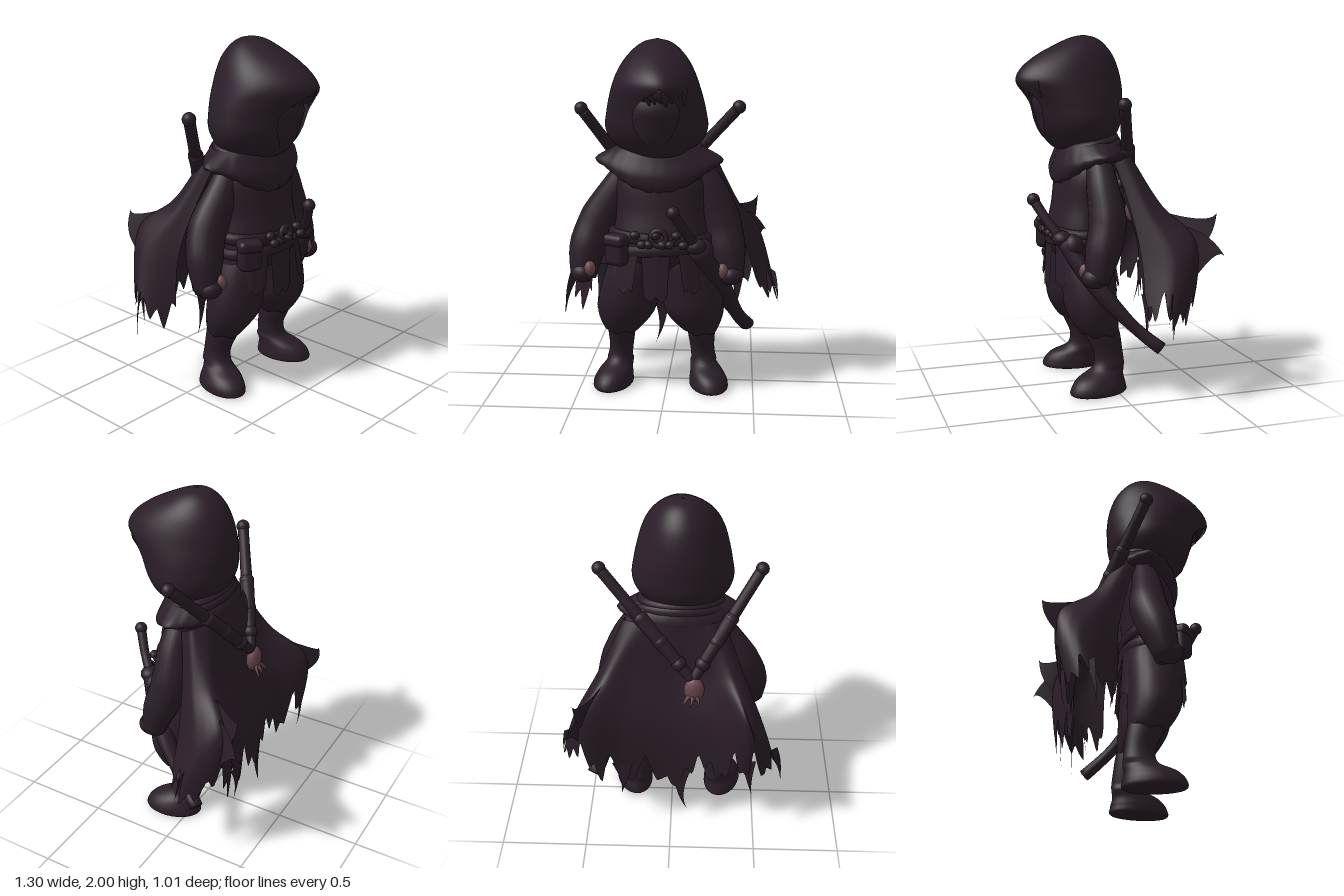
import * as THREE from 'three';
import { mergeVertices } from 'three/addons/utils/BufferGeometryUtils.js';
import { RoundedBoxGeometry } from 'three/addons/geometries/RoundedBoxGeometry.js';

const V = (x, y, z) => new THREE.Vector3(x, y, z);
const spline = (pts) => new THREE.CatmullRomCurve3(pts);
const evenSpline = (pts) => new THREE.CatmullRomCurve3(pts, false, 'catmullrom', 0.5);
const tri = (t) => Math.abs((((t % 1) + 1) % 1) * 2 - 1);

// Smooth surface from a function of (u, v)
function sheet(nu, nv, fn) {
  const pos = [], idx = [];
  for (let j = 0; j <= nv; j++)
    for (let i = 0; i <= nu; i++) pos.push(...fn(i / nu, j / nv, j).toArray());
  for (let j = 0; j < nv; j++)
    for (let i = 0; i < nu; i++) {
      const a = j * (nu + 1) + i, c = a + nu + 1;
      idx.push(a, a + 1, c, a + 1, c + 1, c);
    }
  const g = new THREE.BufferGeometry();
  g.setAttribute('position', new THREE.Float32BufferAttribute(pos, 3));
  g.setIndex(idx);
  const m = mergeVertices(g, 1e-4);
  m.computeVertexNormals();
  return m;
}

// Stacked ovals, bottom to top: [y, cx, cz, rx, rz, front opening angle]
function loft(rows, nu = 32, nv = 30, warp = null) {
  const P = evenSpline(rows.map((r) => V(r[0], r[1], r[2])));
  const R = evenSpline(rows.map((r) => V(r[3], r[4], r[5] || 0)));
  return sheet(nu, nv, (u, v) => {
    const p = P.getPoint(v), r = R.getPoint(v), a = Math.max(0, r.z);
    const th = a + u * (2 * Math.PI - 2 * a);
    const q = V(p.y + r.x * Math.sin(th), p.x, p.z + r.y * Math.cos(th));
    if (warp) warp(q, th, v);
    return q;
  });
}

// Tapered tube with closed ends along a smooth path
function limb(points, radii, flat = 1, sides = 14, n = 18) {
  const c = spline(points.map((p) => V(...p)));
  const f = c.computeFrenetFrames(n);
  return sheet(sides, n + 2, (u, v, j) => {
    const k = Math.min(n, Math.max(0, j - 1)), t = k / n, s = t * (radii.length - 1);
    const i = Math.min(radii.length - 2, Math.floor(s));
    const r = j === 0 || j === n + 2 ? 0 : THREE.MathUtils.lerp(radii[i], radii[i + 1], s - i);
    const a = u * 2 * Math.PI;
    return c.getPointAt(t)
      .addScaledVector(f.normals[k], r * Math.cos(a))
      .addScaledVector(f.binormals[k], r * flat * Math.sin(a));
  });
}

// Curved pointed strip of cloth from the base edge a-b, bending by mid, to a tip
function shred(a, b, mid, tip) {
  const A = V(...a), B = V(...b), half = B.clone().sub(A).multiplyScalar(0.5);
  const c = new THREE.QuadraticBezierCurve3(A.clone().add(half), V(...mid), V(...tip));
  return sheet(6, 12, (u, v) => c.getPoint(v).addScaledVector(half, (u * 2 - 1) * (1 - v) ** 1.4));
}

export function createModel() {
  const root = new THREE.Group();
  const material = (name, color) => {
    const m = new THREE.MeshStandardMaterial({ color, side: THREE.DoubleSide });
    m.name = name;
    return m;
  };
  const cloth = material('dark plum cloth', 0x2a1d28);
  const skin = material('dusty rose', 0x68464a);
  const add = (name, geo, mat = cloth) => {
    const m = new THREE.Mesh(geo, mat);
    m.name = name;
    root.add(m);
    return m;
  };
  const ball = (name, x, y, z, sx, sy = sx, sz = sx, mat = cloth) => {
    const m = add(name, new THREE.SphereGeometry(1, 18, 12), mat);
    m.position.set(x, y, z);
    m.scale.set(sx, sy, sz);
    return m;
  };

  // Hood: [y, front z, back z, half width, opening]
  const hoodRows = [
    [1.38, 0.28, -0.04, 0.17, 0.1], [1.44, 0.345, -0.08, 0.25, 0.25], [1.52, 0.39, -0.112, 0.285, 0.45],
    [1.61, 0.425, -0.12, 0.275, 0.55], [1.68, 0.465, -0.122, 0.26, 0.42], [1.75, 0.5, -0.115, 0.24, 0],
    [1.82, 0.462, -0.098, 0.214, 0], [1.89, 0.37, -0.068, 0.175, 0], [1.95, 0.255, -0.02, 0.122, 0],
    [1.985, 0.175, 0.03, 0.068, 0], [2.0, 0.105, 0.095, 0.005, 0],
  ].map(([y, f, b, rx, a]) => [y, -0.055, (f + b) / 2, rx, (f - b) / 2, a]);
  add('hood', loft(hoodRows, 56, 50, (p, th) => { // narrow the brim into a point
    const f = Math.max(0, Math.cos(th)) ** 2;
    p.x = p.x * (1 - 0.2 * f) + 0.035 * f * Math.max(0, 1 - Math.abs(p.y - 1.74) * 5);
  }));
  add('maskedFace', loft([
    [1.34, -0.035, 0.17, 0.06, 0.04], [1.38, -0.035, 0.17, 0.14, 0.12],
    [1.45, -0.04, 0.17, 0.19, 0.175], [1.55, -0.04, 0.17, 0.22, 0.21],
    [1.63, -0.04, 0.17, 0.21, 0.23], [1.74, -0.04, 0.17, 0.17, 0.2],
  ]));
  for (let i = 0; i < 8; i++) { // frayed brim
    const x = -0.11 + i * 0.03, z = 0.475 - Math.abs(x + 0.01) * 0.5;
    add('brimFray', limb([[x, 1.745, z - 0.01], [x, 1.71, z - 0.012], [x + 0.01, 1.65 + 0.025 * tri(i * 0.37), z - 0.035]],
      [0.03, 0.026, 0.003], 0.5, 6, 6));
  }

  // Cowl: narrow over the shoulders, drooping to a point at the front
  add('cowl', loft([
    [1.35, -0.04, 0.08, 0.2, 0.12], [1.305, -0.04, 0.085, 0.275, 0.19], [1.335, -0.04, 0.085, 0.32, 0.208],
    [1.385, -0.045, 0.08, 0.275, 0.185], [1.43, -0.05, 0.085, 0.2, 0.15],
  ], 96, 24, (p, th, v) => {
    const w = Math.max(0, 1 - v), f = Math.max(0, Math.cos(th));
    p.y -= 0.17 * w * f ** 1.5 + 0.012 * w * tri(th * 3.3);
    p.x *= 1 + 0.13 * Math.abs(Math.sin(th)) ** 20 * Math.sin(Math.PI * v) ** 3;
  }));
  [[1.35, 0.245, 0.32], [1.395, 0.22, 0.2]].forEach(([y, r, tilt]) => {
    const t = add('cowlFold', new THREE.TorusGeometry(r, 0.028, 10, 40));
    t.rotation.x = Math.PI / 2 + tilt;
    t.scale.y = 0.72;
    t.position.set(-0.045, y, 0.082);
  });

  // Torso and belt
  const cx = -0.035;
  add('torso', loft([
    [0.72, cx, 0.13, 0.22, 0.12], [0.82, cx, 0.145, 0.27, 0.165], [0.92, cx, 0.145, 0.265, 0.165],
    [1.05, cx, 0.125, 0.25, 0.16], [1.2, cx, 0.1, 0.26, 0.165], [1.3, cx, 0.08, 0.23, 0.15],
    [1.4, cx, 0.08, 0.12, 0.1],
  ]));
  [0.85, 0.91].forEach((y, i) => {
    const b = add('belt', new THREE.TorusGeometry(0.272, 0.024, 10, 44));
    b.rotation.set(Math.PI / 2, 0.06 - 0.12 * i, 0);
    b.scale.set(1, 0.63, 1.4);
    b.position.set(cx, y, 0.14);
  });
  const buckle = add('buckle', new THREE.TorusGeometry(0.042, 0.015, 8, 20));
  buckle.position.set(-0.03, 0.93, 0.335);
  for (let i = 0; i < 8; i++)
    ball('beltKnot', -0.16 + i * 0.038, 0.91 + 0.035 * Math.cos(i * 2.1), 0.33, 0.03, 0.024, 0.026);
  const pouch = add('hipPouch', new RoundedBoxGeometry(0.13, 0.17, 0.1, 4, 0.035));
  pouch.position.set(-0.265, 0.845, 0.27);
  pouch.rotation.y = -0.55;
  const lid = add('pouchLid', new RoundedBoxGeometry(0.14, 0.07, 0.115, 4, 0.03));
  lid.position.set(-0.265, 0.905, 0.272);
  lid.rotation.y = -0.55;
  ball('sidePouch', 0.21, 0.84, 0.24, 0.06, 0.07, 0.06);

  // Hanging tunic panels: [angle, half width, hem height, hem spread]
  const panels = [[-0.05, 0.3, 0.56, 1.08], [0.75, 0.36, 0.6, 1.14], [-0.75, 0.36, 0.6, 1.14],
    [1.5, 0.4, 0.6, 1.08], [-1.5, 0.4, 0.6, 1.08], [2.4, 0.46, 0.53, 1.2], [-2.4, 0.46, 0.53, 1.2], [3.14, 0.38, 0.55, 1.3]];
  panels.forEach(([a, w, hem, spread]) => add('tunicPanel', sheet(18, 8, (u, v) => {
    const th = a + (u * 2 - 1) * w * (1 - 0.25 * v), r = 1 + (spread - 1) * v;
    const y = THREE.MathUtils.lerp(0.88, hem + 0.035 * tri(u * 2 + a), v);
    return V(cx + 0.275 * r * Math.sin(th), y, 0.14 + 0.175 * r * Math.cos(th));
  })));

  // Baggy trousers and boots
  for (const s of [-1, 1]) {
    const leg = (rows) => rows.map(([y, d, cz, rx, rz]) => [y, cx + s * d, cz, rx, rz]);
    add('trouserLeg', loft(leg([
      [0.32, 0.235, 0.075, 0.06, 0.07], [0.35, 0.225, 0.085, 0.105, 0.11], [0.47, 0.195, 0.12, 0.168, 0.145],
      [0.62, 0.175, 0.13, 0.165, 0.15], [0.78, 0.135, 0.13, 0.15, 0.145], [0.9, 0.1, 0.13, 0.12, 0.1],
    ]), 28, 24, (p, th) => { p.y += 0.008 * Math.sin(th * 5); }));
    add('boot', loft(leg([
      [0, 0.277, 0.105, 0.005, 0.005], [0, 0.277, 0.105, 0.1, 0.155], [0.04, 0.277, 0.105, 0.11, 0.164],
      [0.09, 0.268, 0.09, 0.095, 0.138], [0.14, 0.25, 0.04, 0.075, 0.095], [0.22, 0.238, 0.035, 0.07, 0.083],
      [0.34, 0.232, 0.07, 0.08, 0.1], [0.4, 0.23, 0.08, 0.07, 0.08],
    ]), 28, 32, (p) => { p.x += s * (p.y < 0.14 ? 0.12 * (p.z - 0.1) : 0); p.y = Math.max(0, p.y); }));
  }

  // Arms and fists
  [[[[-0.19, 1.31, 0.08], [-0.275, 1.17, 0.08], [-0.395, 0.97, 0.075], [-0.46, 0.8, 0.12], [-0.475, 0.66, 0.155]], -0.43],
    [[[0.15, 1.31, 0.08], [0.235, 1.17, 0.08], [0.305, 0.97, 0.075], [0.345, 0.8, 0.12], [0.365, 0.66, 0.155]], 0.32],
  ].forEach(([path, hx]) => {
    add('sleeve', limb(path, [0.07, 0.09, 0.105, 0.1, 0.066], 1.1, 18));
    ball('fist', path[4][0], 0.69, 0.165, 0.07, 0.06, 0.075);
    ball('bareFingers', hx, 0.72, 0.205, 0.034, 0.045, 0.038, skin);
  });

  // Cape: columns of points from the left front edge round to the right one
  const columns = [
    [[0.26, 1.3, 0.02], [0.34, 1.1, -0.03], [0.45, 0.8, -0.07], [0.56, 0.44, -0.06]],
    [[0.27, 1.33, -0.05], [0.4, 1.06, -0.14], [0.55, 0.8, -0.23], [0.655, 0.42, -0.15]],
    [[0.2, 1.34, -0.09], [0.36, 1.07, -0.22], [0.49, 0.88, -0.37], [0.5, 0.38, -0.34]],
    [[0.08, 1.34, -0.11], [0.19, 1.07, -0.19], [0.26, 0.78, -0.32], [0.28, 0.3, -0.34]],
    [[-0.05, 1.34, -0.12], [-0.07, 1.05, -0.17], [-0.06, 0.72, -0.28], [-0.08, 0.26, -0.31]],
    [[-0.16, 1.34, -0.11], [-0.22, 1.06, -0.2], [-0.27, 0.78, -0.31], [-0.28, 0.33, -0.33]],
    [[-0.25, 1.34, -0.08], [-0.34, 1.08, -0.23], [-0.43, 0.9, -0.42], [-0.46, 0.4, -0.39]],
    [[-0.29, 1.33, -0.03], [-0.39, 1.08, -0.14], [-0.53, 0.78, -0.3], [-0.64, 0.36, -0.24]],
    [[-0.28, 1.3, 0.02], [-0.35, 1.1, -0.04], [-0.44, 0.8, -0.1], [-0.48, 0.36, -0.1]],
  ].map((c) => spline(c.map((p) => V(...p))));
  add('cape', sheet(144, 36, (u, v) => {
    const end = 1 - 0.13 * tri(u * 9 + 0.25 * Math.sin(u * 17)) - 0.08 * tri(u * 23 + 0.3);
    return spline(columns.map((c) => c.getPoint(v * end))).getPoint(u);
  }));
  // Wind-blown corners and torn strips: [base a, base b, mid, tip]
  const shreds = [
    [[0.37, 1.03, -0.24], [0.49, 0.8, -0.36], [0.5, 0.94, -0.46], [0.525, 1.04, -0.475]],
    [[0.46, 0.96, -0.33], [0.52, 0.68, -0.35], [0.53, 0.88, -0.46], [0.58, 0.81, -0.5]],
    [[-0.36, 1.02, -0.27], [-0.47, 0.76, -0.41], [-0.47, 0.9, -0.5], [-0.425, 0.98, -0.505]],
    [[-0.13, 0.46, -0.29], [-0.02, 0.46, -0.29], [-0.03, 0.26, -0.31], [-0.1, 0.12, -0.3]],
    [[-0.55, 0.58, -0.29], [-0.62, 0.58, -0.24], [-0.65, 0.47, -0.24], [-0.655, 0.3, -0.23]],
    [[-0.41, 0.6, -0.39], [-0.49, 0.6, -0.39], [-0.45, 0.46, -0.41], [-0.48, 0.31, -0.36]],
    [[0.57, 0.66, -0.2], [0.63, 0.62, -0.18], [0.64, 0.55, -0.17], [0.65, 0.44, -0.15]],
    [[0.22, 0.52, -0.34], [0.34, 0.52, -0.34], [0.26, 0.4, -0.35], [0.29, 0.27, -0.33]],
  ];
  shreds.forEach((s) => add('capeShred', shred(...s)));

  // Crossed swords on the back
  const tip = [-0.12, 1.04, -0.215];
  [[-0.49, 1.61, 0.05], [0.4, 1.62, 0.01]].forEach((top) => {
    const at = (t) => tip.map((a, i) => a + (top[i] - a) * t);
    add('backScabbard', limb([at(0), at(0.3), at(0.58)], [0.028, 0.038, 0.042]));
    add('backHilt', limb([at(0.55), at(0.8), at(0.98)], [0.034, 0.032, 0.032]));
    [0.15, 0.35, 0.56].forEach((t) => ball('scabbardBand', ...at(t), 0.043));
    ball('backPommel', ...at(1), 0.038);
  });
  ball('backTassel', -0.13, 0.985, -0.228, 0.058, 0.078, 0.04, skin);
  [-1, 0, 1].forEach((k) => add('tasselStrand', limb(
    [[-0.12, 0.97, -0.24], [-0.12 + k * 0.035, 0.94, -0.27], [-0.11 + k * 0.045, 0.91, -0.3]], [0.014, 0.01, 0.003], 1, 6, 8), skin));

  // Sword on the left hip
  add('hipHilt', limb([[0.06, 1.08, 0.42], [0.12, 0.97, 0.36], [0.18, 0.86, 0.28]], [0.028, 0.026, 0.03]));
  ball('hipPommel', 0.055, 1.09, 0.425, 0.036);
  ball('hipGuard', 0.17, 0.88, 0.295, 0.06, 0.045, 0.055);
  add('hipScabbard', limb([[0.18, 0.86, 0.28], [0.28, 0.67, 0.17], [0.37, 0.47, 0.01], [0.42, 0.36, -0.1], [0.465, 0.29, -0.185]],
    [0.055, 0.06, 0.058, 0.04, 0.045], 0.8));
  return root;
}
